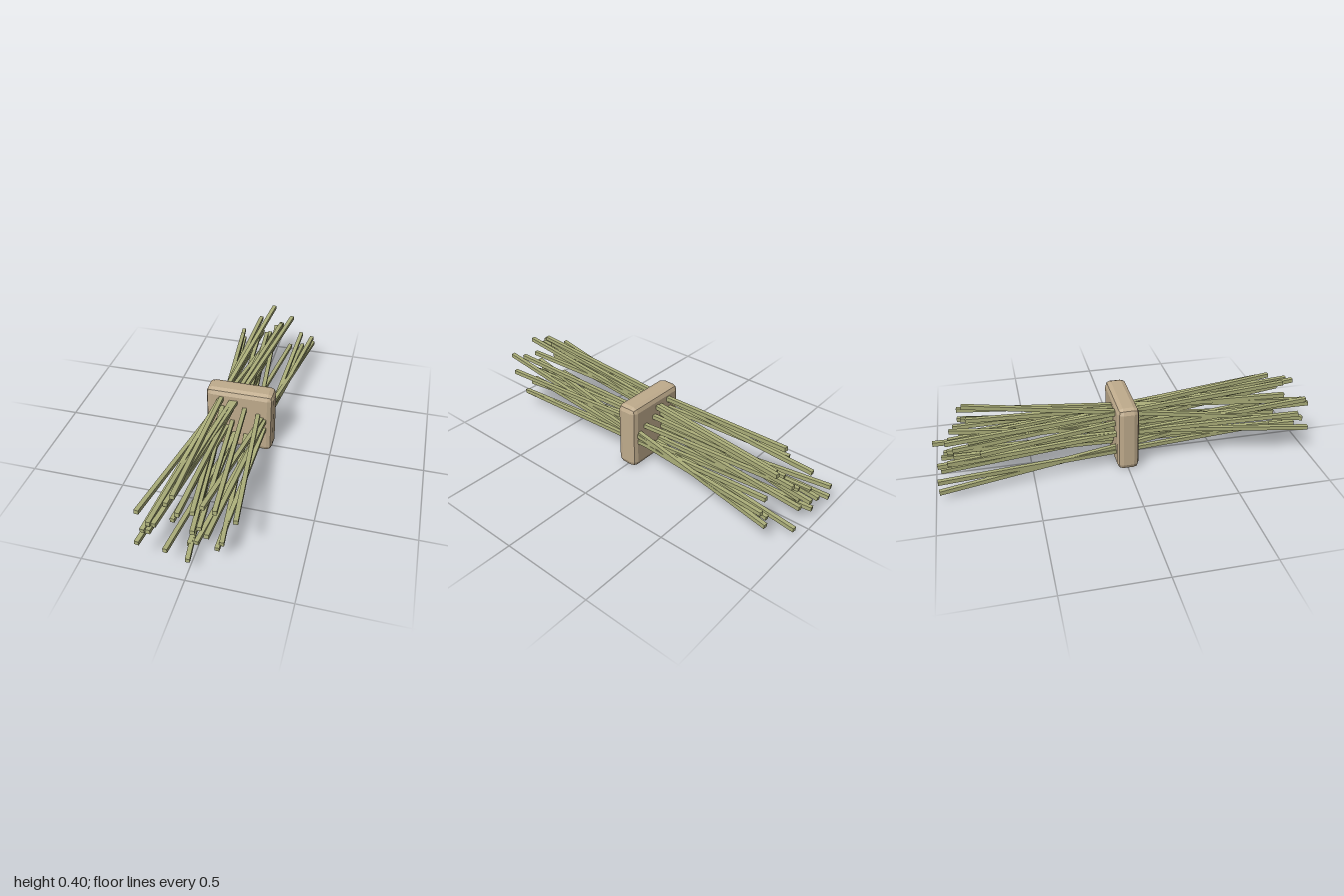
import * as THREE from 'three';
import { RoundedBoxGeometry } from 'three/addons/geometries/RoundedBoxGeometry.js';

// Each stalk: front end x, y, z, then back end x, y, z
const STALKS = [
  [-0.081, 0.373, 0.87, -0.10, 0.245, -0.93],
  [-0.034, 0.357, 0.95, -0.034, 0.16, -0.90],
  [-0.117, 0.319, 0.87, 0.05, 0.28, -0.82],
  [-0.158, 0.30, 0.98, -0.10, 0.115, -0.98],
  [-0.138, 0.288, 0.97, 0.11, 0.315, -0.86],
  [-0.245, 0.27, 0.90, -0.01, 0.14, -0.93],
  [-0.153, 0.273, 0.998, 0.02, 0.18, -0.998],
  [-0.203, 0.214, 0.95, 0.002, 0.391, -0.83],
  [-0.222, 0.162, 0.98, 0.04, 0.23, -0.91],
  [0.01, 0.306, 0.88, -0.18, 0.21, -0.76],
  [0.035, 0.287, 0.82, 0.245, 0.13, -0.90],
  [0.108, 0.325, 0.87, -0.04, 0.20, -0.82],
  [0.104, 0.294, 0.98, 0.183, 0.12, -0.87],
  [0.197, 0.269, 0.85, 0.0, 0.20, -0.92],
  [0.034, 0.206, 0.87, -0.11, 0.13, -0.93],
  [0.004, 0.183, 0.88, -0.225, 0.044, -0.98],
  [0.024, 0.133, 0.89, 0.24, 0.183, -0.87],
  [-0.119, 0.147, 0.80, 0.02, 0.115, -0.95],
  [-0.10, 0.124, 0.96, 0.09, 0.042, -0.97],
  [0.131, 0.11, 0.85, -0.07, 0.065, -0.97],
  [0.114, 0.094, 0.87, 0.175, 0.215, -0.85],
  [-0.02, 0.078, 0.86, -0.02, 0.11, -0.90],
  [0.0, 0.075, 0.95, -0.228, 0.107, -0.98],
];

export function createModel() {
  const group = new THREE.Group();
  group.name = 'stalkBundle';

  const tan = new THREE.MeshStandardMaterial({ color: 0xc0ac8d, flatShading: true });
  tan.name = 'tan';
  const green = new THREE.MeshStandardMaterial({ color: 0xadb07b, flatShading: true });
  green.name = 'dryGreen';

  // Bevelled binding block around the middle
  const band = new THREE.Mesh(new RoundedBoxGeometry(0.364, 0.364, 0.116, 1, 0.03), tan);
  band.name = 'bindingBand';
  band.position.set(0.004, 0.182, 0);
  group.add(band);

  // Straight square stalks fanning out from the band
  const stalks = new THREE.Group();
  stalks.name = 'stalks';
  STALKS.forEach(([ax, ay, az, bx, by, bz], i) => {
    const front = new THREE.Vector3(ax, ay, az);
    const back = new THREE.Vector3(bx, by, bz);
    const stalk = new THREE.Mesh(new THREE.BoxGeometry(0.022, 0.022, front.distanceTo(back)), green);
    stalk.name = `stalk${i + 1}`;
    stalk.position.addVectors(front, back).multiplyScalar(0.5);
    stalk.lookAt(front);
    stalks.add(stalk);
  });
  group.add(stalks);

  return group;
}
